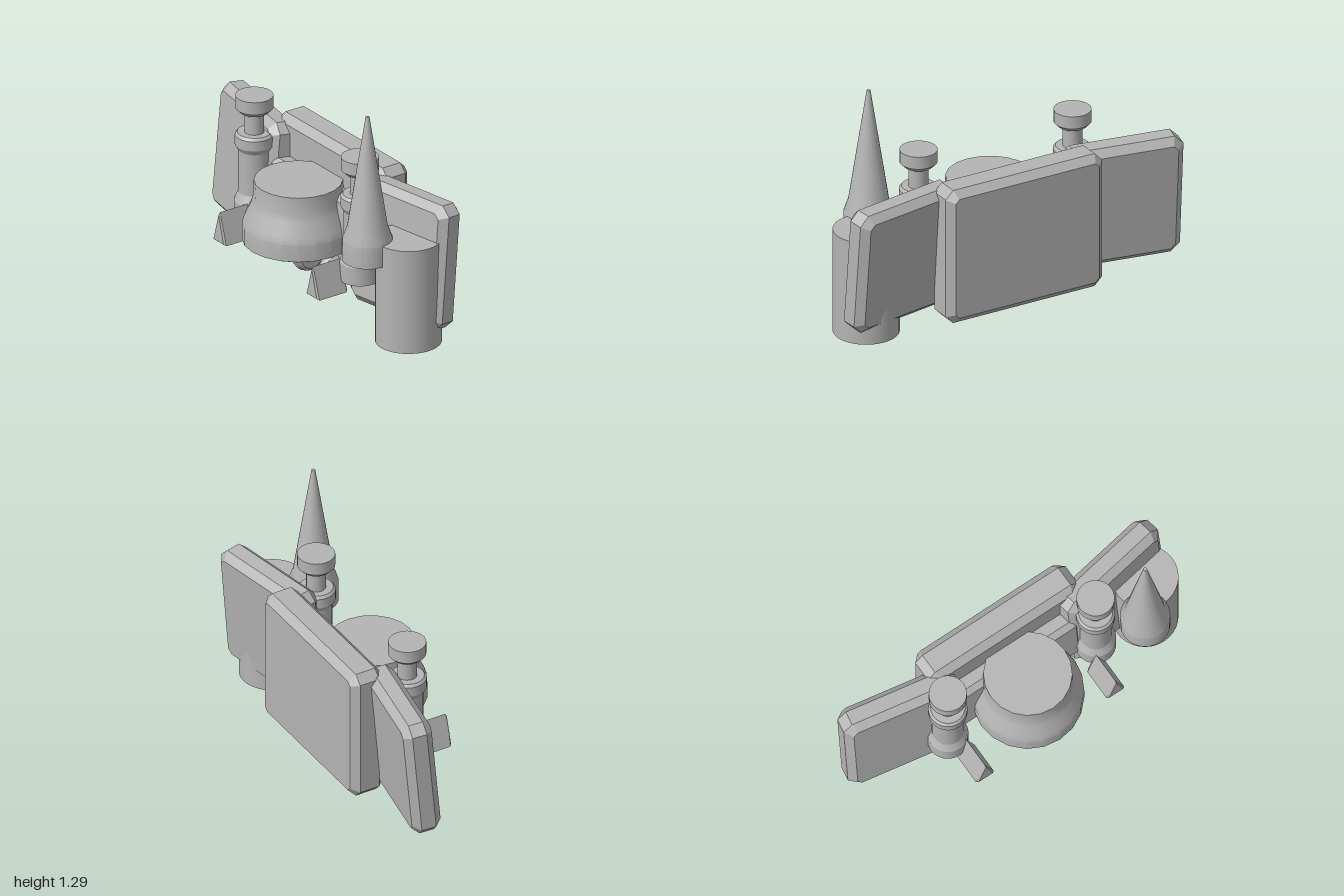
import * as THREE from 'three';
import { toCreasedNormals } from 'three/addons/utils/BufferGeometryUtils.js';

export function createModel() {
  const model = new THREE.Group();
  model.name = 'equipmentRack';
  const grey = new THREE.MeshStandardMaterial({ color: 0xb4b4b4 });
  grey.name = 'plainGrey';

  function add(name, geometry, x, y, z) {
    const mesh = new THREE.Mesh(geometry, grey);
    mesh.name = name;
    mesh.position.set(x, y, z);
    model.add(mesh);
    return mesh;
  }

  // Extruded outline, centred in depth, with a chamfer that stays inside it
  function chamfered(points, depth, bevel) {
    const shape = new THREE.Shape(points.map(([x, y]) => new THREE.Vector2(x, y)));
    const g = new THREE.ExtrudeGeometry(shape, {
      depth: depth - 2 * bevel, bevelEnabled: true, bevelSegments: 1,
      bevelSize: bevel, bevelThickness: bevel, bevelOffset: -bevel,
    });
    return g.translate(0, 0, bevel - depth / 2);
  }

  // Box with all edges chamfered and the four corners cut
  function panel(w, h, d, cut, bevel) {
    const a = w / 2, b = h / 2;
    return chamfered([
      [-a + cut, -b], [a - cut, -b], [a, -b + cut], [a, b - cut],
      [a - cut, b], [-a + cut, b], [-a, b - cut], [-a, -b + cut],
    ], d, bevel);
  }

  // Closed turned form from bottom to top, with crisp rims
  function turned(profile, segments) {
    const pts = [[0, profile[0][1]], ...profile, [0, profile[profile.length - 1][1]]];
    const g = new THREE.LatheGeometry(pts.map(([r, y]) => new THREE.Vector2(r, y)), segments);
    return toCreasedNormals(g, 0.4);
  }

  // Back panels
  add('centrePanel', panel(0.95, 0.77, 0.195, 0.045, 0.04), 0, 0.425, -0.243);
  for (const s of [-1, 1]) {
    const wing = add(s > 0 ? 'leftWingPanel' : 'rightWingPanel',
      panel(0.66, 0.7, 0.16, 0.05, 0.04), s * 0.668, 0.43, -0.16);
    wing.rotation.set(THREE.MathUtils.degToRad(-5), s * THREE.MathUtils.degToRad(10), 0, 'YXZ');
  }

  // Inner mounting plate
  const plate = add('mountingPlate', panel(0.8, 0.37, 0.15, 0.03, 0.03), 0, 0.415, -0.11);
  plate.rotation.x = -0.08;

  // Central bowl
  add('bowl', turned([
    [0.275, 0.295], [0.295, 0.305], [0.295, 0.4], [0.283, 0.44], [0.25, 0.51], [0.238, 0.55], [0.233, 0.645],
  ], 20), 0, 0, 0.045);

  // Mirrored posts and wedge feet
  const postProfile = [
    [0.108, 0.24], [0.108, 0.34], [0.085, 0.39], [0.085, 0.63], [0.103, 0.66], [0.103, 0.715], [0.09, 0.73],
    [0.052, 0.73], [0.052, 0.84], [0.075, 0.845], [0.1, 0.87], [0.1, 0.94],
  ];
  for (const s of [-1, 1]) {
    add('post', turned(postProfile, 24), s * 0.468, 0, -0.012);
    add('wedgeFoot', chamfered([[-0.056, 0.18], [0.056, 0.18], [0, 0.355]], 0.195, 0.01), s * 0.413, 0, 0.162);
  }

  // Two small rollers under the bowl, each with an outward hub
  const rollerProfile = [[0.07, -0.04], [0.088, -0.025], [0.095, 0], [0.088, 0.025], [0.07, 0.04]];
  for (const [x, s] of [[-0.003, -1], [0.232, 1]]) {
    add('roller', turned(rollerProfile, 24), x, 0.2, -0.02).rotation.z = Math.PI / 2;
    add('rollerHub', new THREE.CylinderGeometry(0.05, 0.05, 0.06, 16), x + s * 0.04, 0.2, -0.02).rotation.z = Math.PI / 2;
  }

  // Side drum and spike
  add('drum', new THREE.CylinderGeometry(0.176, 0.176, 0.59, 32), 0.82, 0.295, -0.069);
  add('spike', turned([[0.132, 0.47], [0.132, 0.59], [0.107, 0.66], [0.01, 1.29]], 28), 0.7, 0, 0.108);

  return model;
}
